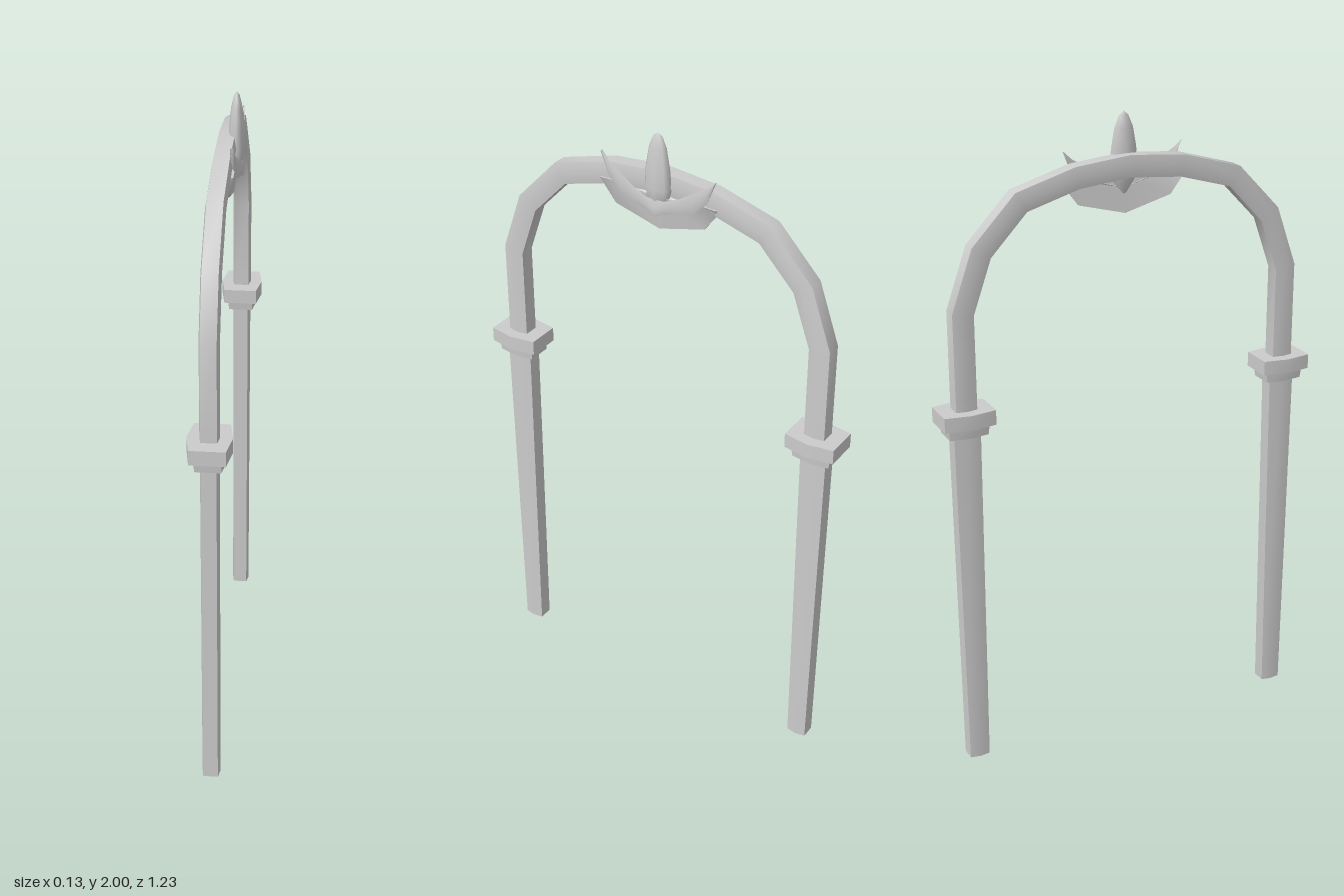
import * as THREE from 'three';
import { toCreasedNormals } from 'three/addons/utils/BufferGeometryUtils.js';

const material = new THREE.MeshStandardMaterial({ color: 0xcccccc, side: THREE.DoubleSide });

// Skins a list of rings (arrays of [x, y, z], counter-clockwise about the travel direction) and caps both ends.
function loft(rings, crease = 0.9) {
  const n = rings[0].length;
  const pos = rings.flat(2);
  const index = [];
  for (let i = 0; i < rings.length - 1; i++) {
    for (let j = 0; j < n; j++) {
      const a = i * n + j, b = i * n + (j + 1) % n;
      index.push(a, b, b + n, a, b + n, a + n);
    }
  }
  const last = (rings.length - 1) * n;
  for (let j = 1; j < n - 1; j++) {
    index.push(0, j + 1, j, last, last + j, last + j + 1);
  }
  const g = new THREE.BufferGeometry();
  g.setAttribute('position', new THREE.Float32BufferAttribute(pos, 3));
  g.setIndex(index);
  return toCreasedNormals(g, crease);
}

// Six-sided section as [in-plane, x] factors: flat inside and outside, pointed sideways.
const HEX = [[1, -0.8], [1, 0.8], [0, 1], [-1, 0.8], [-1, -0.8], [0, -1]];

function hexRing(y, z, rz, rx) {
  return HEX.map(([u, v]) => [v * rx, y, z + u * rz]);
}

// Six-sided pipe swept along [y, z] points with mitred corners.
function hexPipe(path, rz, rx) {
  const P = path.map(([y, z]) => new THREE.Vector2(y, z));
  return loft(P.map((p, i) => {
    const before = P[Math.max(i - 1, 0)], after = P[Math.min(i + 1, P.length - 1)];
    const d1 = (i ? p.clone().sub(before) : after.clone().sub(p)).normalize();
    const d2 = (i < P.length - 1 ? after.clone().sub(p) : d1.clone()).normalize();
    const t = d1.clone().add(d2).normalize();
    const r = rz / t.dot(d1);
    return HEX.map(([u, v]) => [v * rx, p.x - t.y * u * r, p.y + t.x * u * r]);
  }));
}

function add(parent, name, geometry) {
  const mesh = new THREE.Mesh(geometry, material);
  mesh.name = name;
  parent.add(mesh);
  return mesh;
}

export function createModel() {
  const model = new THREE.Group();
  model.name = 'archway';
  const legZ = 0.535;

  // Posts with stepped collars
  for (const side of [1, -1]) {
    const post = new THREE.Group();
    post.name = side > 0 ? 'frontPost' : 'backPost';
    const z = side * legZ;
    add(post, 'leg', loft([hexRing(0, z, 0.032, 0.028), hexRing(1.11, z, 0.042, 0.028)]));
    add(post, 'lowerCollar', loft([hexRing(1.1, z, 0.06, 0.047), hexRing(1.135, z, 0.064, 0.05)]));
    add(post, 'upperCollar', loft([hexRing(1.132, z, 0.08, 0.065), hexRing(1.178, z, 0.08, 0.065)]));
    model.add(post);
  }

  // Curved pipe joining the two collars
  const half = [[1.17, legZ], [1.471, legZ], [1.646, 0.473], [1.778, 0.347], [1.829, 0.17]];
  const path = [...half, [1.845, 0], ...half.map(([y, z]) => [y, -z]).reverse()];
  add(model, 'archPipe', hexPipe(path, 0.033, 0.029));

  // Flower ornament on the side of the crown
  const flower = new THREE.Group();
  flower.name = 'flower';
  model.add(flower);

  // Upright bud, flattened sideways
  const profile = [[0, 1.74], [0.012, 1.76], [0.036, 1.795], [0.045, 1.83], [0.041, 1.89], [0.03, 1.95], [0.015, 1.985], [0, 1.997]]
    .map(([r, y]) => new THREE.Vector2(r, y));
  const bud = add(flower, 'bud', new THREE.LatheGeometry(profile, 8));
  bud.scale.x = 0.55;
  bud.position.x = 0.027;

  // Pointed side petals: stations of [z, low y, high y, ridge x]
  const petal = loft([
    [0, 1.745, 1.8, 0.051], [0.03, 1.76, 1.8, 0.049], [0.075, 1.768, 1.818, 0.045],
    [0.122, 1.785, 1.846, 0.041], [0.165, 1.825, 1.872, 0.037], [0.191, 1.893, 1.896, 0.034],
  ].map(([z, lo, hi, x]) => {
    const mid = (lo + hi) / 2;
    return [[x, mid, z], [x - 0.005, hi, z], [0.024, mid, z], [x - 0.005, lo, z]];
  }), 0.7);
  for (const side of [1, -1]) {
    add(flower, side > 0 ? 'frontPetal' : 'backPetal', petal).scale.z = side;
  }

  // Broad lower petal, a thin plate hanging below the pipe: stations of [z, low y, high y]
  const edge = [[0.195, 1.795, 1.812], [0.15, 1.737, 1.815], [0, 1.697, 1.8]];
  const stations = [...edge.slice(0, 2).map(([z, a, b]) => [-z, a, b]), edge[2], ...edge.slice(0, 2).reverse()];
  add(flower, 'lowerPetal', loft(stations.map(([z, lo, hi]) => [
    [0.034, hi, z], [0.028, hi, z], [0.016, lo, z], [0.02, lo, z],
  ])));

  return model;
}
